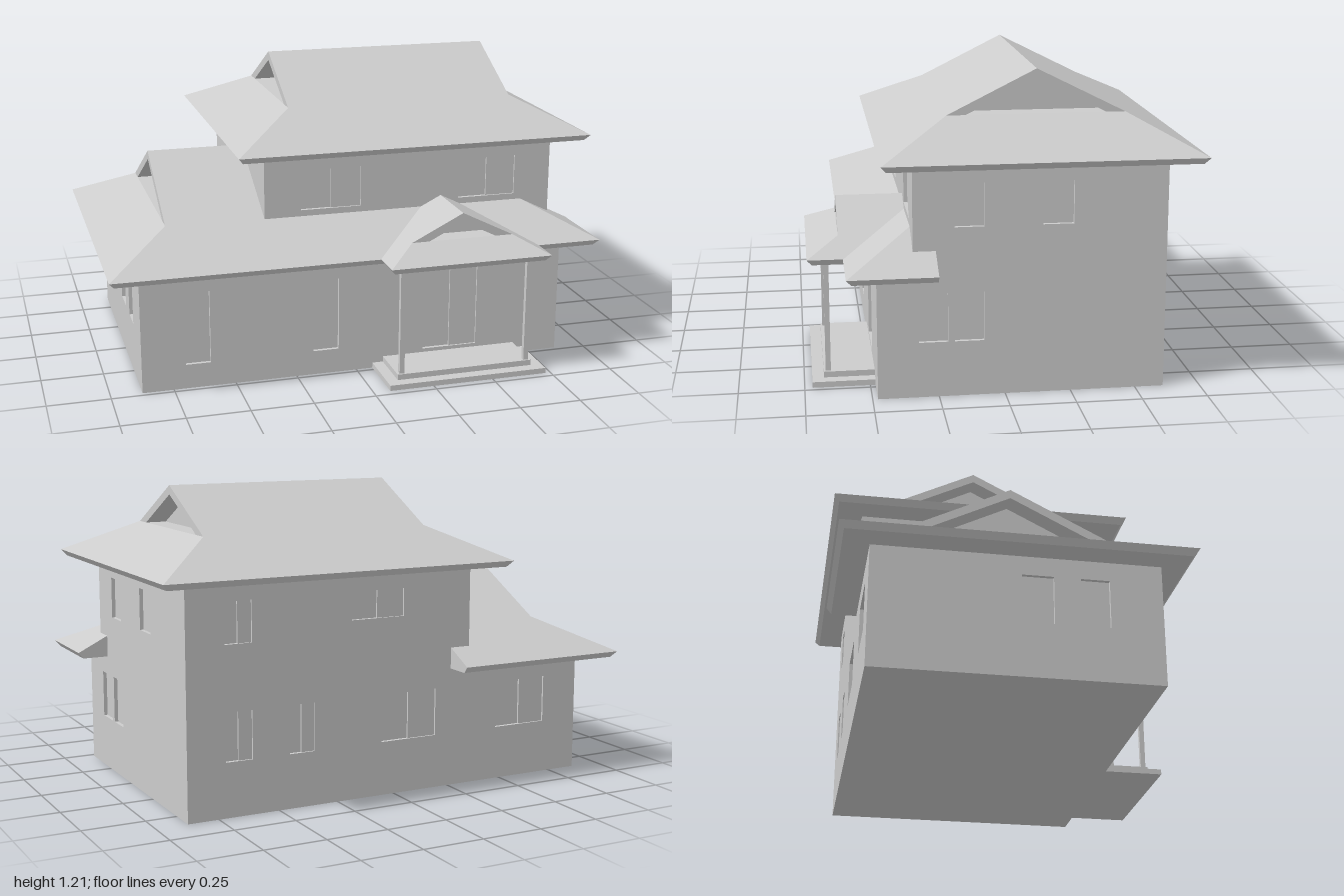
import * as THREE from 'three';

const material = new THREE.MeshStandardMaterial({ color: 0xcccccc, side: THREE.DoubleSide, flatShading: true });
const PITCH = 0.5, FASCIA = 0.025, LIP = 0.02, REVEAL = 0.015;

function mesh(name, geometry, parent) {
  const m = new THREE.Mesh(geometry, material);
  m.name = name;
  parent.add(m);
  return m;
}

// Box given by its two extreme corners
function block(name, parent, [x0, y0, z0], [x1, y1, z1]) {
  const m = mesh(name, new THREE.BoxGeometry(x1 - x0, y1 - y0, z1 - z0), parent);
  m.position.set((x0 + x1) / 2, (y0 + y1) / 2, (z0 + z1) / 2);
  return m;
}

// Collects flat convex faces into one geometry
function faceBuilder() {
  const out = [];
  return {
    add(points, flip = false) {
      const p = flip ? [...points].reverse() : points;
      for (let i = 1; i < p.length - 1; i++) out.push(...p[0], ...p[i], ...p[i + 1]);
    },
    build() {
      const g = new THREE.BufferGeometry();
      g.setAttribute('position', new THREE.Float32BufferAttribute(out, 3));
      g.computeVertexNormals();
      return g;
    },
  };
}

// Hip roof with a small recessed gable above each hip; ridge runs along x.
// An end without a gable is cut off square.
function gabletRoof({ x0, x1, half, eave, run, gables }) {
  const f = faceBuilder();
  const thick = 0.036, recess = 0.085;
  const knee = eave + PITCH * run, ridge = eave + PITCH * half;
  const low = eave - FASCIA, w = half - LIP, kz = half - run;
  const innerPeak = ridge - thick, innerZ = (innerPeak - knee) / PITCH;
  const a = gables[0] ? x0 + run : x0, b = gables[1] ? x1 - run : x1;
  const l0 = gables[0] ? x0 + LIP : x0, l1 = gables[1] ? x1 - LIP : x1;

  for (const s of [1, -1]) {
    const flip = s < 0;
    f.add([[x0, eave, s * half], [x1, eave, s * half], [b, knee, s * kz], [a, knee, s * kz]], flip);
    f.add([[a, knee, s * kz], [b, knee, s * kz], [b, ridge, 0], [a, ridge, 0]], flip);
    f.add([[l0, low, s * w], [l1, low, s * w], [x1, eave, s * half], [x0, eave, s * half]], flip);
  }
  f.add([[l0, low, -w], [l1, low, -w], [l1, low, w], [l0, low, w]]);

  [[x0, a, l0, -1, gables[0]], [x1, b, l1, 1, gables[1]]].forEach(([x, k, l, dir, gable]) => {
    const flip = dir < 0;
    if (!gable) {
      f.add([[x, low, w], [x, low, -w], [x, eave, -half], [x, ridge, 0], [x, eave, half]], flip);
      return;
    }
    const back = k - dir * recess;
    f.add([[x, eave, half], [x, eave, -half], [k, knee, -kz], [k, knee, kz]], flip);
    f.add([[l, low, w], [l, low, -w], [x, eave, -half], [x, eave, half]], flip);
    f.add([[k, knee, innerZ], [k, knee, -innerZ], [back, knee, -innerZ], [back, knee, innerZ]], flip);
    f.add([[back, knee, innerZ], [back, knee, -innerZ], [back, innerPeak, 0]], flip);
    for (const s of [1, -1]) {
      const f2 = flip !== (s < 0);
      f.add([[k, knee, s * kz], [k, knee, s * innerZ], [k, innerPeak, 0], [k, ridge, 0]], f2);
      f.add([[k, knee, s * innerZ], [back, knee, s * innerZ], [back, innerPeak, 0], [k, innerPeak, 0]], f2);
    }
  });
  return f.build();
}

// Part of the lower roof that wraps around the front left corner of the upper storey
function cornerRoof() {
  const f = faceBuilder();
  const e = 0.505, low = e - FASCIA, x0 = -0.26, zf = 0.595, zc = 0.26, zw = 0.345;
  const top = e + PITCH * (zf - zw), side = e + PITCH * 0.125;
  f.add([[x0, e, zf], [1, e, zf], [0.75, top, zw], [x0, top, zw]]);
  f.add([[1, e, zf], [1, e, zc], [0.875, side, zc], [0.75, top, zw]]);
  f.add([[x0, low, zf - LIP], [1 - LIP, low, zf - LIP], [1, e, zf], [x0, e, zf]]);
  f.add([[1 - LIP, low, zf - LIP], [1 - LIP, low, zc], [1, e, zc], [1, e, zf]]);
  f.add([[x0, low, zc], [1 - LIP, low, zc], [1 - LIP, low, zf - LIP], [x0, low, zf - LIP]]);
  f.add([[1 - LIP, low, zc], [0.875, low, zc], [0.875, side, zc], [1, e, zc]]);
  return f.build();
}

// Wall layer with window openings. Spans and openings are given along world x or z.
// Each opening is [from, to, bottom, top, sliding]
const SIDES = {
  front: [0, 1], back: [Math.PI, -1], left: [Math.PI / 2, -1], right: [-Math.PI / 2, 1],
};
function wall(name, parent, side, plane, [u0, u1], [y0, y1], openings = []) {
  const [angle, sign] = SIDES[side];
  const rect = (Type, a, b, c, d) => {
    const [l, r] = [a * sign, b * sign].sort((p, q) => p - q);
    return new Type([[l, c], [r, c], [r, d], [l, d]].map(([x, y]) => new THREE.Vector2(x, y)));
  };
  const group = new THREE.Group();
  group.name = name;
  group.rotation.y = angle;
  const shape = rect(THREE.Shape, u0, u1, y0, y1);
  const depth = Math.abs(plane) - REVEAL;
  for (const [a, b, c, d, sliding] of openings) {
    shape.holes.push(rect(THREE.Path, a, b, c, d));
    if (!sliding) continue;
    // Front pane of a two-leaf window or door
    const mid = ((a + b) / 2) * sign, end = Math.max(a * sign, b * sign);
    block('pane', group, [mid, c, depth], [end, d, depth + REVEAL / 2]);
  }
  const panel = mesh('wallPanel', new THREE.ExtrudeGeometry(shape, { depth: REVEAL, bevelEnabled: false }), group);
  panel.position.z = depth;
  parent.add(group);
}

export function createModel() {
  const house = new THREE.Group();
  house.name = 'house';
  const R = REVEAL;

  // Ground storey
  const ground = [0, 0.49], gx = [-0.875, 0.875], gz = [-0.61, 0.48];
  block('groundCore', house, [gx[0] + R, 0, gz[0] + R], [gx[1] - R, 0.49, gz[1] - R]);
  wall('groundFront', house, 'front', gz[1], gx, ground, [
    [-0.7, -0.6, 0.1, 0.4], [-0.18, -0.075, 0.1, 0.4], [0.285, 0.515, 0.06, 0.4, true],
  ]);
  wall('groundBack', house, 'back', gz[0], gx, ground, [
    [0.61, 0.72, 0.215, 0.405, true], [0.35, 0.455, 0.215, 0.405, true],
    [-0.19, 0.055, 0.215, 0.405, true], [-0.715, -0.48, 0.215, 0.405, true],
  ]);
  wall('groundLeft', house, 'left', gx[1], gz, ground, [
    [0.215, 0.325, 0.215, 0.405], [0.08, 0.19, 0.215, 0.405],
  ]);
  wall('groundRight', house, 'right', gx[0], gz, ground, [
    [-0.05, 0.07, 0.215, 0.405], [0.17, 0.28, 0.215, 0.405],
  ]);

  // Upper storey
  const upper = [0.49, 0.895], ux = [-0.345, 0.875], uz = [-0.61, 0.345];
  block('upperCore', house, [ux[0] + R, 0.48, uz[0] + R], [ux[1] - R, 0.895, uz[1] - R]);
  wall('upperFront', house, 'front', uz[1], ux, upper, [
    [-0.195, 0.055, 0.655, 0.82, true], [0.475, 0.72, 0.655, 0.82, true],
  ]);
  wall('upperBack', house, 'back', uz[0], ux, upper, [
    [0.61, 0.72, 0.66, 0.82, true], [-0.04, 0.19, 0.71, 0.82, true],
  ]);
  wall('upperLeft', house, 'left', ux[1], uz, upper, [
    [0.08, 0.19, 0.655, 0.82], [-0.255, -0.14, 0.655, 0.82],
  ]);
  wall('upperRight', house, 'right', ux[0], uz, upper);

  // Roofs
  mesh('upperRoof', gabletRoof({
    x0: -0.47, x1: 1, half: 0.5975, eave: 0.915, run: 0.26, gables: [true, true],
  }), house).position.z = -0.1325;
  mesh('lowerRoof', gabletRoof({
    x0: -1, x1: -0.26, half: 0.6625, eave: 0.505, run: 0.257, gables: [true, false],
  }), house).position.z = -0.0675;
  mesh('cornerRoof', cornerRoof(), house);

  // Porch with its roof, steps and posts
  const porch = new THREE.Group();
  porch.name = 'porch';
  house.add(porch);
  const porchRoof = mesh('porchRoof', gabletRoof({
    x0: -0.73, x1: -0.34, half: 0.333, eave: 0.506, run: 0.122, gables: [true, false],
  }), porch);
  porchRoof.rotation.y = Math.PI / 2;
  porchRoof.position.x = 0.3975;
  block('lowerStep', porch, [0.068, 0, 0.47], [0.728, 0.022, 0.72]);
  block('upperStep', porch, [0.113, 0.022, 0.47], [0.682, 0.045, 0.675]);
  for (const x of [0.133, 0.662]) {
    block('porchPost', porch, [x - 0.01, 0.045, 0.648], [x + 0.01, 0.485, 0.668]);
  }
  return house;
}
